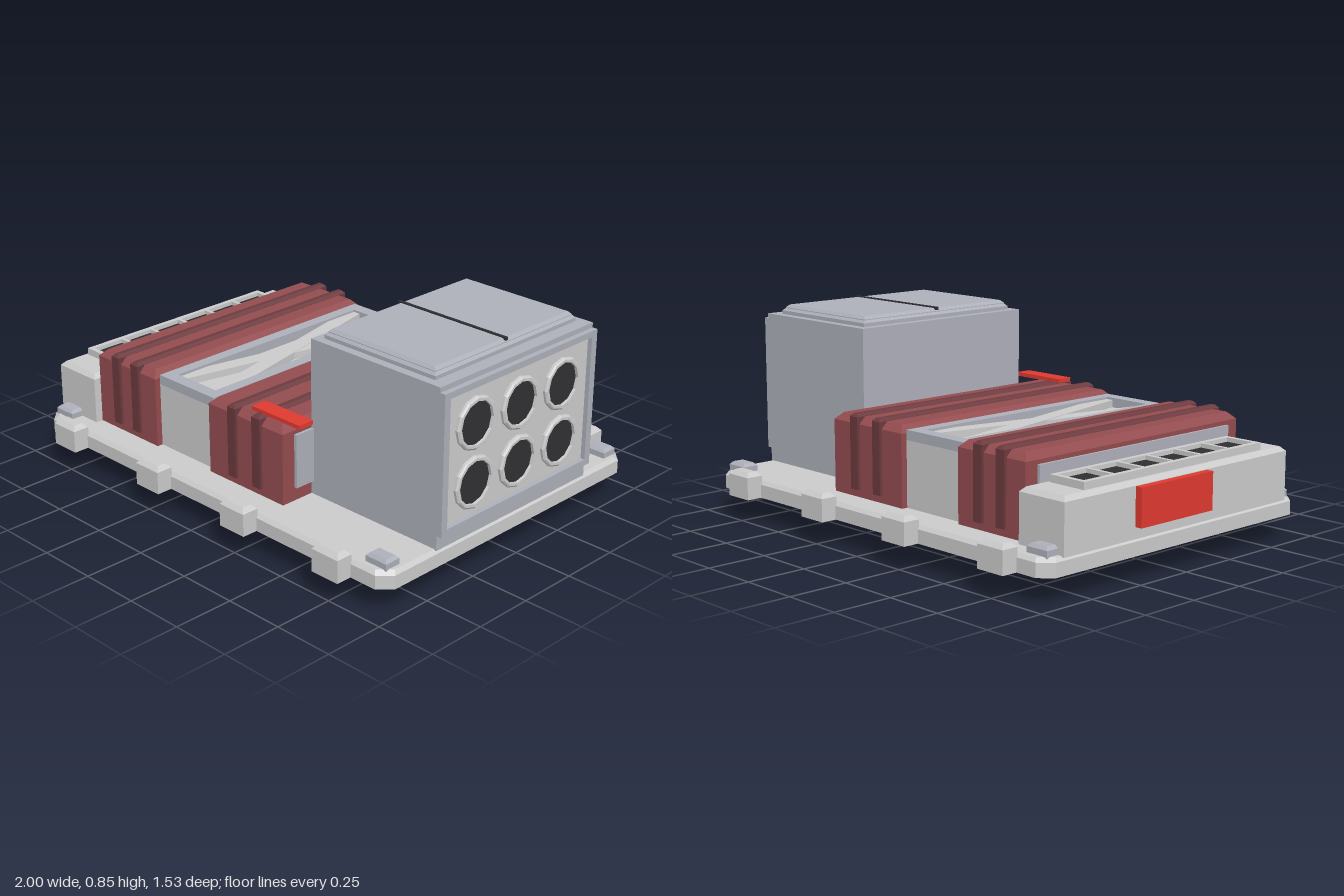
import * as THREE from 'three';

const mat = (color) => new THREE.MeshStandardMaterial({ color, flatShading: true });
const GREY = mat(0xcccccc), STEEL = mat(0xaeb0ba), MAROON = mat(0x944c50);
const STRAP = mat(0x6c3a3e), RED = mat(0xe03a30), DARK = mat(0x303033);

export function createModel() {
  const root = new THREE.Group();

  function add(name, geo, material, x = 0, y = 0, z = 0, parent = root) {
    const m = new THREE.Mesh(geo, material);
    m.name = name;
    m.position.set(x, y, z);
    parent.add(m);
    return m;
  }

  // Box given by its limits, with an optional chamfer round the top
  function block(name, material, [x0, x1], [y0, y1], [z0, z1], bevel = 0, parent = root) {
    const w = x1 - x0, h = y1 - y0, d = z1 - z0;
    const geo = new THREE.BoxGeometry(w, h, d, 1, bevel ? 2 : 1, 1);
    const p = geo.attributes.position;
    for (let i = 0; bevel && i < p.count; i++) {
      const y = p.getY(i);
      if (Math.abs(y) < 1e-6) p.setY(i, h / 2 - bevel);
      else if (y > 0) {
        p.setX(i, p.getX(i) - Math.sign(p.getX(i)) * bevel);
        p.setZ(i, p.getZ(i) - Math.sign(p.getZ(i)) * bevel);
      }
    }
    const flat = geo.toNonIndexed();
    flat.computeVertexNormals();
    return add(name, flat, material, (x0 + x1) / 2, (y0 + y1) / 2, (z0 + z1) / 2, parent);
  }

  const rect = (T, w, h, cx = 0, cy = 0) => new T([
    [-1, -1], [1, -1], [1, 1], [-1, 1],
  ].map(([a, b]) => new THREE.Vector2(cx + a * w / 2, cy + b * h / 2)));

  // Rectangular plate with rectangular holes, extruded upwards
  function frame(w, d, h, holes) {
    const s = rect(THREE.Shape, w, d);
    holes.forEach(([hw, hd, cx, cz]) => s.holes.push(rect(THREE.Path, hw, hd, cx, cz)));
    return new THREE.ExtrudeGeometry(s, { depth: h, bevelEnabled: false }).rotateX(-Math.PI / 2);
  }

  // Base plate: clipped corners, chamfered upper edge
  const W = 0.975, D = 0.70, c = 0.05;
  const outline = new THREE.Shape([
    [-W + c, -D], [W - c, -D], [W, -D + c], [W, D - c],
    [W - c, D], [-W + c, D], [-W, D - c], [-W, -D + c],
  ].map(([x, y]) => new THREE.Vector2(x, y)));
  const plate = new THREE.ExtrudeGeometry(outline, { depth: 0.07, steps: 2, bevelEnabled: false });
  plate.rotateX(-Math.PI / 2);
  const pp = plate.attributes.position;
  for (let i = 0; i < pp.count; i++) {
    const y = pp.getY(i);
    if (y > 0.06) pp.setXYZ(i, pp.getX(i) * 0.985, y, pp.getZ(i) * 0.979);
    else if (y > 0.01) pp.setY(i, 0.055);
  }
  plate.computeVertexNormals();
  add('basePlate', plate, GREY, 0.005, 0.10, 0);
  add('mountingRing', new THREE.CylinderGeometry(0.43, 0.43, 0.10, 32), GREY, -0.11, 0.05, 0);

  // Edge lugs and corner pads
  for (const s of [-1, 1]) {
    for (const x of [-0.76, -0.235, 0.255, 0.745]) {
      block('edgeLug', GREY, [x - 0.065, x + 0.065], [0.10, 0.21], [s * 0.73 - 0.036, s * 0.73 + 0.036], 0.018);
    }
    for (const x of [-0.89, 0.9]) {
      block('cornerPad', STEEL, [x - 0.05, x + 0.05], [0.16, 0.205], [s * 0.63 - 0.035, s * 0.63 + 0.035], 0.012);
    }
  }

  // Padded bundles with straps and end plates
  function bundle(x0, x1, straps) {
    const g = new THREE.Group();
    g.name = 'bundle';
    root.add(g);
    block('padding', MAROON, [x0, x1], [0.165, 0.49], [-0.58, 0.58], 0.028, g);
    for (const x of straps) {
      block('strap', STRAP, [x - 0.022, x + 0.022], [0.20, 0.503], [-0.592, 0.592], 0.012, g);
    }
  }
  bundle(-0.745, -0.39, [-0.625, -0.507]);
  bundle(-0.07, 0.34, [0.07, 0.205]);
  block('endPlate', STEEL, [0.33, 0.353], [0.225, 0.445], [-0.52, 0.52]);
  block('endPlate', STEEL, [-0.756, -0.73], [0.225, 0.445], [-0.52, 0.52]);

  // Centre block with a recessed, cross-braced top
  block('centreBlock', GREY, [-0.39, -0.07], [0.165, 0.435], [-0.555, 0.555]);
  add('centreFrame', frame(0.32, 1.11, 0.04, [[0.22, 1.0, 0, 0]]), STEEL, -0.23, 0.435, 0);
  for (const s of [-1, 1]) {
    const brace = new THREE.Shape([
      [-0.11, -0.5], [-0.078, -0.5], [0.11, 0.34], [0.11, 0.5], [0.078, 0.5], [-0.11, -0.34],
    ].map(([x, y]) => new THREE.Vector2(x, y)));
    const geo = new THREE.ExtrudeGeometry(brace, { depth: 0.03, bevelEnabled: false }).rotateX(-Math.PI / 2);
    const m = add('crossBrace', geo, GREY, -0.23, s > 0 ? 0.434 : 0.466, 0);
    if (s < 0) m.rotation.z = Math.PI;
  }

  // Vent housing with six dark slots
  block('ventHousing', GREY, [-0.97, -0.745], [0.165, 0.38], [-0.612, 0.612], 0.018);
  const slots = [-2.5, -1.5, -0.5, 0.5, 1.5, 2.5].map((k) => [0.125, 0.142, 0, k * 0.158]);
  add('ventFrame', frame(0.17, 0.975, 0.03, slots), GREY, -0.858, 0.379, 0);
  block('ventInterior', DARK, [-0.925, -0.79], [0.37, 0.392], [-0.475, 0.475]);

  // Red markers
  block('rearMarker', RED, [-1, -0.965], [0.21, 0.36], [-0.14, 0.25].map((v) => v - 0.11));
  block('redHandle', RED, [0.155, 0.41], [0.50, 0.516], [0.49, 0.56]);

  // Launcher box and its hinged lid
  block('launcherBox', STEEL, [0.34, 0.975], [0.165, 0.805], [-0.43, 0.43]);
  block('lidBase', STEEL, [0.375, 0.92], [0.80, 0.83], [-0.395, 0.395], 0.01);
  block('lid', STEEL, [0.385, 0.91], [0.82, 0.845], [-0.385, 0.385], 0.012);
  block('lidSeam', DARK, [0.38, 0.912], [0.838, 0.85], [-0.006, 0.006]);

  // Launcher face: raised frame, panel and six tube mouths
  const face = frame(0.56, 0.86, 0.025, [[0.51, 0.80, 0, 0]]).rotateZ(-Math.PI / 2);
  add('faceFrame', face, STEEL, 0.973, 0.505, 0);
  block('facePanel', GREY, [0.96, 0.979], [0.25, 0.76], [-0.40, 0.40]);
  const rim = new THREE.LatheGeometry([
    [0.105, 0], [0.105, 0.010], [0.098, 0.016], [0.087, 0.016], [0.087, 0],
  ].map(([r, y]) => new THREE.Vector2(r, y)), 12).rotateZ(-Math.PI / 2);
  const mouth = new THREE.CylinderGeometry(0.088, 0.088, 0.005, 12).rotateZ(-Math.PI / 2);
  for (const y of [0.38, 0.615]) {
    for (const z of [-0.245, 0, 0.245]) {
      add('tubeRim', rim, GREY, 0.979, y, z);
      add('tubeMouth', mouth, DARK, 0.98, y, z);
    }
  }
  return root;
}
